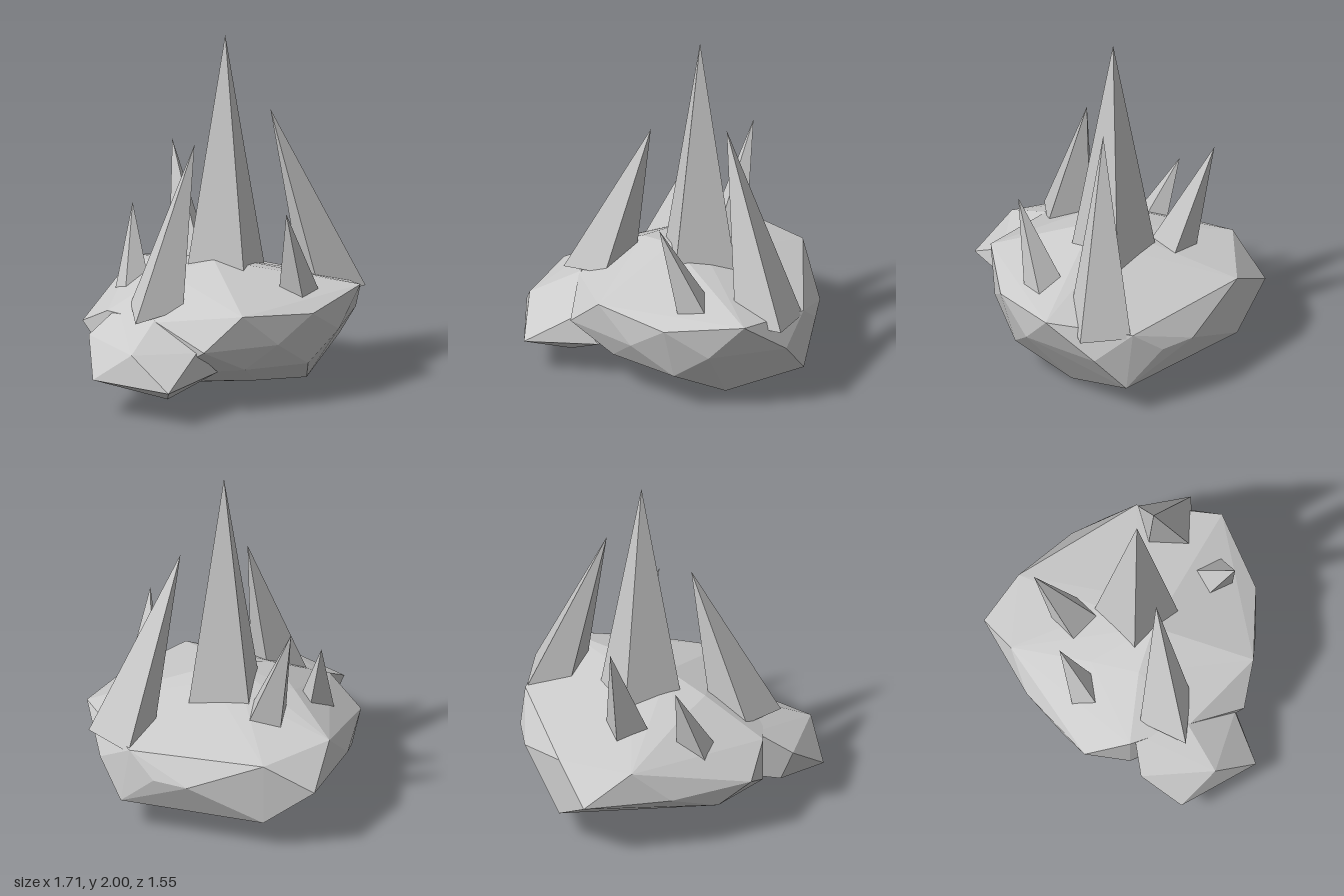
import * as THREE from 'three';
import { ConvexGeometry } from 'three/addons/geometries/ConvexGeometry.js';

const material = new THREE.MeshStandardMaterial({ color: 0xcccccc, flatShading: true });

// Faceted solid wrapped around a handful of corner points
function facetedSolid(name, corners) {
  const points = corners.map(([x, y, z]) => new THREE.Vector3(x, y, z));
  const mesh = new THREE.Mesh(new ConvexGeometry(points), material);
  mesh.name = name;
  return mesh;
}

// Four-sided shard: a tip joined to four base corners, each edge run on by `sink` into the rock
function shard(name, tip, base, sink = 0) {
  const corners = base.map(p => p.map((v, i) => v + (v - tip[i]) * sink));
  return facetedSolid(name, [tip, ...corners]);
}

export function createModel() {
  const group = new THREE.Group();
  group.name = 'crystalRock';

  // Main boulder, in layers from bottom to top
  const underside = [
    [0.11, 0, 0.07], [0.48, 0.04, 0.34], [-0.33, 0.06, 0.13],
    [-0.07, 0.1, 0.37], [0.11, 0.1, 0.45], [0.08, 0.11, -0.26],
  ];
  const lowerRing = [
    [0.82, 0.18, 0.07], [0.34, 0.22, 0.64], [-0.06, 0.24, 0.66], [-0.45, 0.2, 0.42],
    [-0.62, 0.23, 0.07], [-0.5, 0.26, -0.3], [0.33, 0.18, -0.6],
  ];
  const equator = [
    [0.83, 0.38, 0.25], [0.55, 0.38, 0.6], [0.11, 0.38, 0.73], [-0.33, 0.38, 0.69],
    [-0.65, 0.38, -0.18], [-0.31, 0.38, -0.52], [0.11, 0.38, -0.78],
    [0.65, 0.38, -0.32], [0.75, 0.38, -0.14],
  ];
  const upperRing = [
    [0.73, 0.59, 0.51], [0.33, 0.53, 0.72], [-0.11, 0.57, 0.73], [-0.48, 0.5, 0.4],
    [-0.62, 0.5, 0.07], [-0.11, 0.57, -0.62], [0.33, 0.54, -0.6], [0.79, 0.51, 0.03],
  ];
  const crown = [
    [-0.26, 0.68, 0.1], [-0.01, 0.74, 0.17], [0.17, 0.7, 0.1],
    [-0.2, 0.65, -0.17], [0.1, 0.68, -0.1],
  ];
  group.add(facetedSolid('mainBoulder',
    [...underside, ...lowerRing, ...equator, ...upperRing, ...crown]));

  // Smaller boulder at the front right
  group.add(facetedSolid('sideBoulder', [
    [-0.86, 0.21, 0.37], [-0.77, 0.4, 0.14], [-0.71, 0.38, 0.55], [-0.59, 0.2, 0.77],
    [-0.46, 0.08, 0.5], [-0.2, 0.23, 0.6], [-0.35, 0.37, 0.64], [-0.48, 0.51, 0.38],
    [-0.56, 0.52, 0.09], [-0.68, 0.18, 0.18], [-0.4, 0.14, 0.18],
  ]));

  // Tall upright shard
  group.add(shard('centreShard', [0.11, 2, 0.07],
    [[-0.14, 0.6, 0.07], [0.36, 0.6, 0.07], [0.11, 0.6, -0.175], [0.11, 0.6, 0.315]]));

  // Large shards leaning in from each side
  group.add(shard('rightShard', [-0.14, 1.43, 0.19],
    [[-0.6, 0.5, 0.38], [-0.31, 0.55, 0.39], [-0.5, 0.54, 0.12], [-0.26, 0.6, 0.16]]));
  group.add(shard('leftShard', [0.35, 1.56, 0.15],
    [[0.85, 0.52, 0.33], [0.79, 0.49, 0.04], [0.56, 0.5, 0.36], [0.56, 0.52, 0.11]]));

  // Small shards at the front and back
  group.add(shard('frontShard', [0.22, 1.09, 0.61],
    [[0.46, 0.61, 0.52], [0.33, 0.59, 0.59], [0.37, 0.65, 0.39], [0.25, 0.6, 0.46]], 0.12));
  group.add(shard('backShard', [0.065, 1.25, -0.5],
    [[0.185, 0.61, -0.26], [-0.075, 0.61, -0.26], [0.065, 0.63, -0.13], [0.065, 0.6, -0.4]], 0.06));
  group.add(shard('backRightShard', [-0.26, 0.97, -0.34],
    [[-0.4, 0.57, -0.14], [-0.26, 0.61, -0.16], [-0.39, 0.56, -0.27], [-0.24, 0.6, -0.27]], 0.12));

  return group;
}
